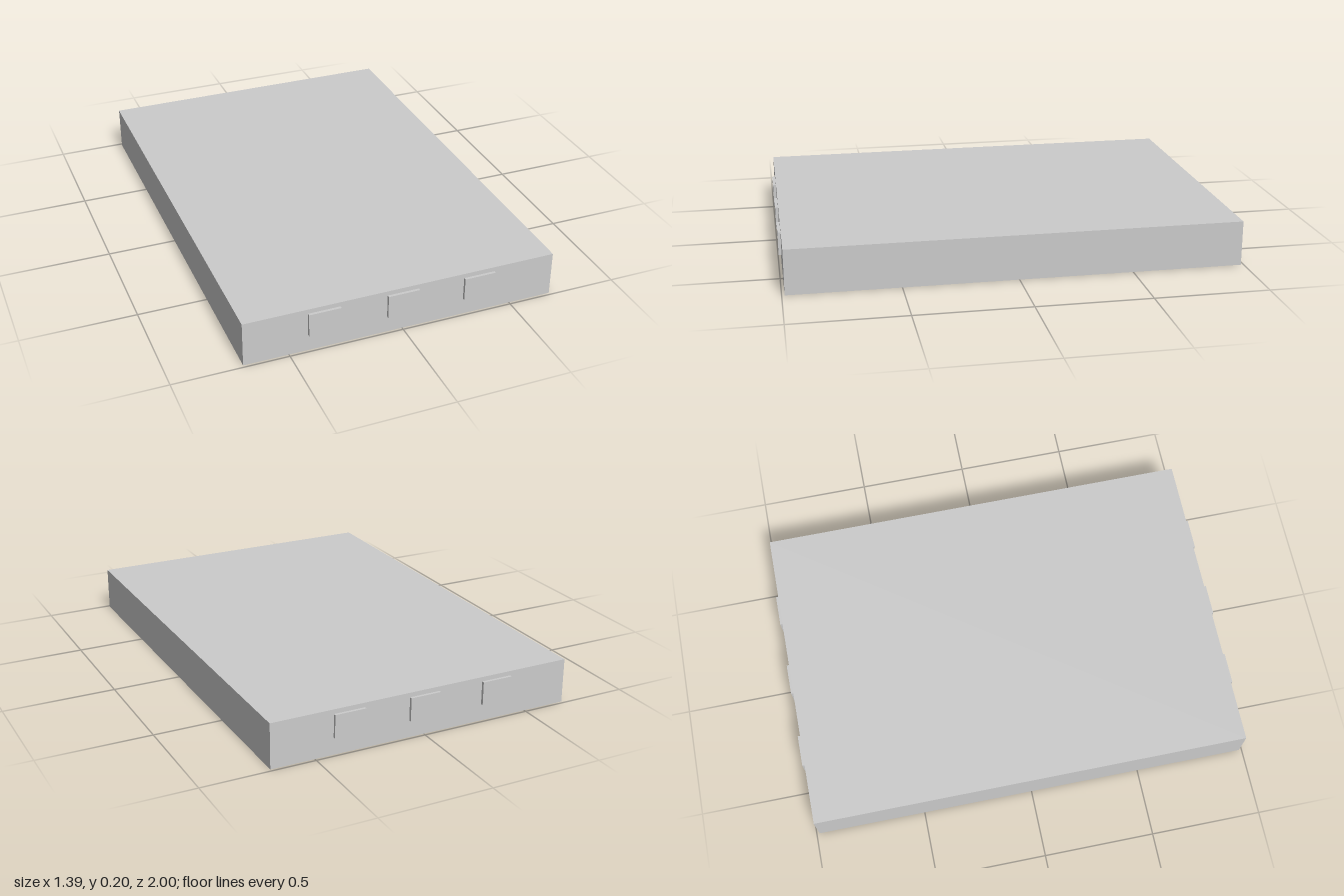
import * as THREE from 'three';

const WIDTH = 1.39, HEIGHT = 0.2, LENGTH = 1.975, RECESS_DEPTH = 0.04;
const material = new THREE.MeshStandardMaterial({ color: 0xcccccc, flatShading: true });

function part(name, geometry, x = 0, y = 0, z = 0) {
  const mesh = new THREE.Mesh(geometry, material);
  mesh.name = name;
  mesh.position.set(x, y, z);
  return mesh;
}

// Traces a centred rectangle into a Shape or Path
function rectangle(path, width, length, centreY = 0) {
  const x = width / 2, y = length / 2;
  path.moveTo(-x, centreY - y);
  path.lineTo(x, centreY - y);
  path.lineTo(x, centreY + y);
  path.lineTo(-x, centreY + y);
  path.closePath();
  return path;
}

export function createModel() {
  const model = new THREE.Group();
  model.name = 'slab';

  // Solid upper body; its underside is the floor of the recesses
  const bodyHeight = HEIGHT - RECESS_DEPTH;
  model.add(part('body', new THREE.BoxGeometry(WIDTH, bodyHeight, LENGTH), 0, RECESS_DEPTH + bodyHeight / 2));

  // Bottom layer with two long recesses cut across the width
  const outline = rectangle(new THREE.Shape(), WIDTH, LENGTH);
  for (const side of [-1, 1]) {
    outline.holes.push(rectangle(new THREE.Path(), 1.04, 0.275, side * 0.605));
  }
  const base = new THREE.ExtrudeGeometry(outline, { depth: RECESS_DEPTH, bevelEnabled: false });
  base.rotateX(-Math.PI / 2);
  model.add(part('recessedBase', base));

  // Three raised pads on each end
  const pad = new THREE.BoxGeometry(0.14, 0.104, 0.025);
  for (const end of [-1, 1]) {
    for (const column of [-1, 0, 1]) {
      model.add(part(end > 0 ? 'frontPad' : 'backPad', pad, column * 0.347, 0.128, end * 0.9875));
    }
  }

  return model;
}
